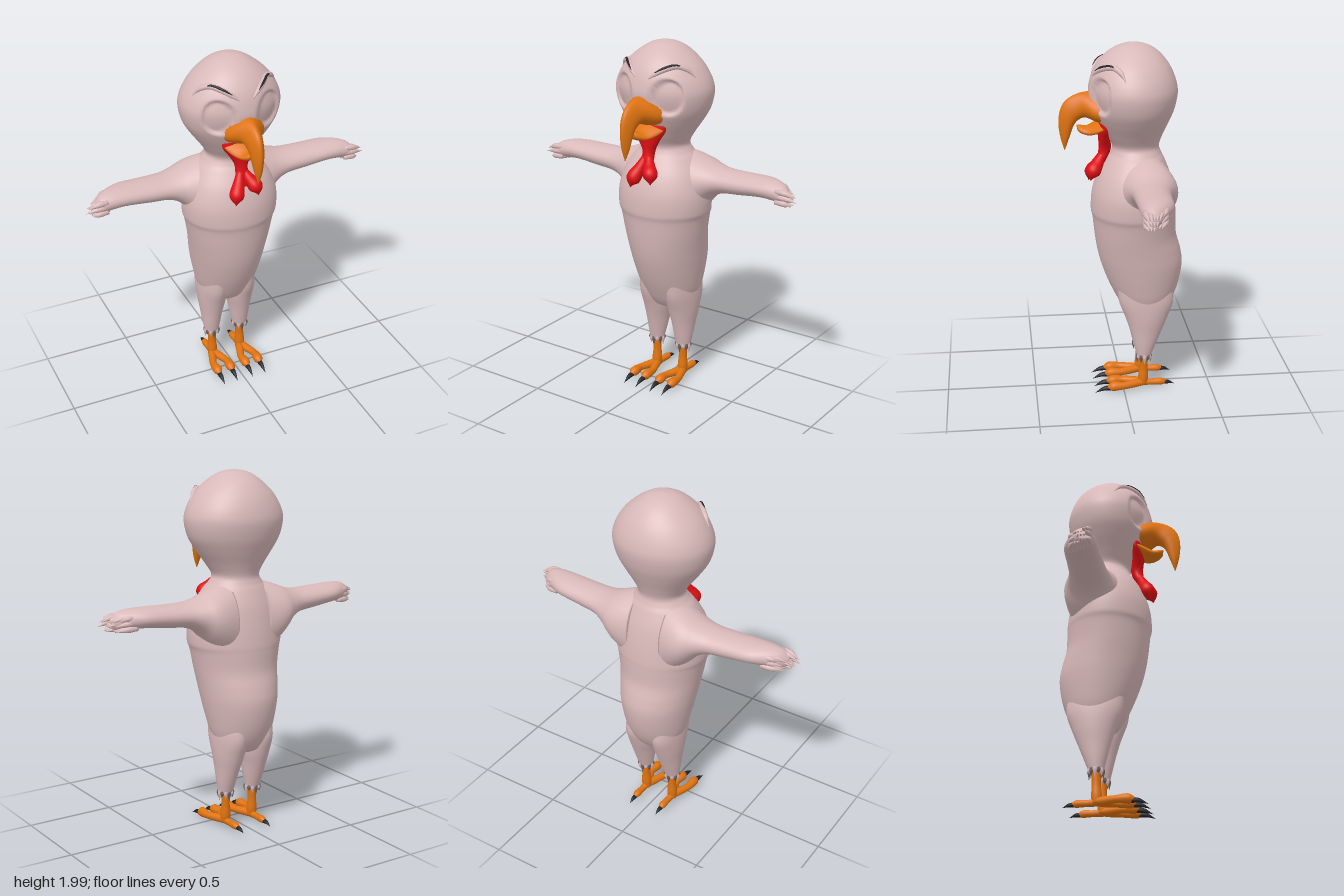
import * as THREE from 'three';

const mat = (name, color, side = THREE.FrontSide) => {
  const m = new THREE.MeshStandardMaterial({ color, side });
  m.name = name;
  return m;
};
const V = (x, y, z) => new THREE.Vector3(x, y, z);

// Resample rows of numbers along a smooth curve, column by column
function smooth(rows, n) {
  const cols = rows[0].map((_, c) => new THREE.SplineCurve(rows.map(r => new THREE.Vector2(r[c], 0))));
  return Array.from({ length: n + 1 }, (_, i) => cols.map(c => c.getPoint(i / n).x));
}

// Closed skin over rings of points, capped at both ends, always facing outwards
function loft(rings) {
  const n = rings[0].length, pts = rings.flat(), idx = [];
  for (let r = 0; r < rings.length - 1; r++) for (let i = 0; i < n; i++) {
    const a = r * n + i, b = r * n + (i + 1) % n;
    idx.push(a, b, a + n, b, b + n, a + n);
  }
  [0, rings.length - 1].forEach((r, end) => {
    const c = pts.length;
    pts.push(rings[r].reduce((s, p) => s.add(p), V(0, 0, 0)).divideScalar(n));
    for (let i = 0; i < n; i++) {
      const a = r * n + i, b = r * n + (i + 1) % n;
      end ? idx.push(a, b, c) : idx.push(b, a, c);
    }
  });
  let vol = 0;
  for (let i = 0; i < idx.length; i += 3)
    vol += pts[idx[i]].dot(V(0, 0, 0).crossVectors(pts[idx[i + 1]], pts[idx[i + 2]]));
  if (vol < 0) idx.reverse();
  const g = new THREE.BufferGeometry().setFromPoints(pts);
  g.setIndex(idx);
  g.computeVertexNormals();
  return g;
}

const ring = (n, f) => Array.from({ length: n }, (_, i) => {
  const t = i / n * Math.PI * 2;
  return f(Math.cos(t), Math.sin(t));
});

// Round limb with a changing radius along a curve
function limb(points, radii, steps = 14, sides = 12) {
  const curve = new THREE.CatmullRomCurve3(points.map(p => V(...p)));
  const frames = curve.computeFrenetFrames(steps);
  const rad = smooth(radii.map(r => [r]), steps);
  return loft(rad.map(([r], i) => {
    const c = curve.getPoint(i / steps);
    return ring(sides, (a, b) => c.clone()
      .addScaledVector(frames.normals[i], a * Math.max(r, 0.0005))
      .addScaledVector(frames.binormals[i], b * Math.max(r, 0.0005)));
  }));
}

// Upright sections: y, centre x, half width, front z, back z
const upright = (rows, n, sides) => loft(smooth(rows, n).map(([y, cx, w, f, b]) =>
  ring(sides, (c, s) => V(cx + w * c, y, (f + b) / 2 + (f - b) / 2 * s))));

// Head and torso: y, half width, front z, back z
const BODY = smooth([
  [2.0, 0.002, -0.06, -0.064], [1.985, 0.075, 0.01, -0.135], [1.95, 0.135, 0.075, -0.195],
  [1.9, 0.195, 0.125, -0.24], [1.85, 0.236, 0.155, -0.27], [1.79, 0.268, 0.175, -0.292],
  [1.73, 0.279, 0.182, -0.3], [1.65, 0.262, 0.165, -0.285], [1.58, 0.222, 0.135, -0.258],
  [1.5, 0.165, 0.09, -0.222], [1.44, 0.131, 0.055, -0.203], [1.4, 0.148, 0.06, -0.212],
  [1.36, 0.185, 0.085, -0.232], [1.28, 0.235, 0.132, -0.262], [1.18, 0.266, 0.164, -0.283],
  [1.08, 0.268, 0.172, -0.296], [1.03, 0.254, 0.163, -0.298], [0.93, 0.235, 0.152, -0.302],
  [0.84, 0.22, 0.138, -0.326], [0.76, 0.208, 0.118, -0.338], [0.66, 0.19, 0.082, -0.325],
  [0.57, 0.17, 0.04, -0.298], [0.5, 0.14, 0, -0.26], [0.46, 0.095, -0.04, -0.22], [0.44, 0.004, -0.12, -0.128],
], 180);

function headZ(x, y) {
  const i = BODY.findIndex(r => r[0] <= y), [, w, f, b] = BODY[i];
  return (f + b) / 2 + (f - b) / 2 * Math.sqrt(Math.max(0, 1 - (x / w) ** 2));
}

export function createModel() {
  const skin = mat('pale pink skin', 0xd9b9b9);
  const orange = mat('orange', 0xdf7310);
  const red = mat('red', 0xe00f14);
  const black = mat('claw black', 0x24242a);
  const grey = mat('grey feather', 0x6b6060);
  const model = new THREE.Group();
  const add = (name, geo, m) => {
    const mesh = new THREE.Mesh(geo, m);
    mesh.name = name;
    model.add(mesh);
    return mesh;
  };

  // Head and torso, with two shallow eye sockets pressed in
  add('body', loft(BODY.map(([y, w, f, b]) => ring(96, (c, s) => {
    const p = V(w * c, y, (f + b) / 2 + (f - b) / 2 * s);
    if (s > 0) {
      const d = Math.hypot((Math.abs(p.x) - 0.14) / 0.085, (y - 1.735) / 0.105);
      p.z -= 0.026 * (1 - THREE.MathUtils.smoothstep(d, 0.75, 1));
    }
    return p;
  }))), skin);

  // Hooked upper beak and scoop below: top z, top y, bottom z, bottom y, half width
  const beak = (rows, n) => loft(smooth(rows, n).map(([tz, ty, bz, by, w]) => ring(28, (c, s) =>
    V(w * c * (1 - 0.35 * s), (ty + by) / 2 + (ty - by) / 2 * s, (tz + bz) / 2 + (tz - bz) / 2 * s))));
  add('upperBeak', beak([
    [0.10, 1.735, 0.08, 1.56, 0.122], [0.185, 1.737, 0.145, 1.575, 0.098], [0.25, 1.724, 0.2, 1.597, 0.056],
    [0.305, 1.69, 0.24, 1.58, 0.042], [0.334, 1.64, 0.262, 1.55, 0.036], [0.344, 1.57, 0.275, 1.515, 0.03],
    [0.335, 1.49, 0.293, 1.465, 0.02], [0.313, 1.415, 0.311, 1.414, 0.002],
  ], 32), orange);
  add('lowerBeak', beak([
    [0.08, 1.6, 0.08, 1.545, 0.11], [0.14, 1.575, 0.14, 1.51, 0.085], [0.19, 1.55, 0.19, 1.5, 0.055],
    [0.23, 1.555, 0.235, 1.517, 0.03], [0.245, 1.555, 0.246, 1.548, 0.003],
  ], 16), orange);

  // Throat wattle with two hanging lobes
  add('wattle', upright([
    [1.59, 0, 0.112, 0.13, 0.05], [1.54, 0, 0.108, 0.135, 0.06], [1.48, 0, 0.068, 0.13, 0.065],
    [1.42, 0, 0.036, 0.128, 0.06], [1.36, 0, 0.036, 0.138, 0.085], [1.31, 0, 0.022, 0.15, 0.115],
  ], 20, 24), red);
  for (const [s, drop] of [[1, 0.035], [-1, 0]])
    add(s > 0 ? 'leftWattleLobe' : 'rightWattleLobe', limb([
      [s * 0.012, 1.385, 0.11], [s * 0.032, 1.325 + drop / 2, 0.135],
      [s * 0.058, 1.265 + drop, 0.165], [s * 0.066, 1.222 + drop, 0.178],
    ], [0.02, 0.032, 0.039, 0.002], 20, 20), red);

  for (const s of [1, -1]) {
    const side = s > 0 ? 'left' : 'right';

    // Brow ridge with a dark feathered line
    const brow = [[0.04, 1.832], [0.075, 1.858], [0.115, 1.882], [0.16, 1.893], [0.2, 1.875], [0.235, 1.835]];
    const browAt = (k, up, out) => k.map(([x, y]) => [s * x, y + up, headZ(x, y) + out]);
    add(side + 'BrowRidge', limb(browAt(brow, 0, -0.002), [0.004, 0.013, 0.016, 0.016, 0.014, 0.003], 24), skin);
    add(side + 'BrowLine', limb(browAt(brow.slice(1, 5), 0.008, 0.01), [0.002, 0.007, 0.007, 0.002], 20, 8), black);

    // Arm: x, top y, bottom y, front z, back z
    add(side + 'Arm', loft(smooth([
      [0.1, 1.4, 0.98, 0.03, -0.27], [0.17, 1.385, 1.03, 0.04, -0.282], [0.23, 1.363, 1.09, 0.02, -0.278],
      [0.29, 1.34, 1.155, -0.005, -0.25], [0.36, 1.326, 1.19, -0.018, -0.225], [0.47, 1.325, 1.203, -0.02, -0.213],
      [0.6, 1.327, 1.218, -0.02, -0.203], [0.68, 1.324, 1.218, -0.022, -0.17], [0.74, 1.308, 1.215, -0.028, -0.13],
      [0.775, 1.275, 1.222, -0.04, -0.09],
    ], 50).map(([x, t, b, f, k]) => ring(32, (c, q) =>
      V(s * x, (t + b) / 2 + (t - b) / 2 * q, (f + k) / 2 + (f - k) / 2 * c)))), skin);

    // Ragged feather tips round the wing end, in three layers
    for (let layer = 0; layer < 3; layer++) for (let i = 0; i < 6; i++) {
      const u = i / 5, jag = ((i * 2 + layer) % 3) * 0.012;
      const y = [1.285, 1.258, 1.228][layer], z = THREE.MathUtils.lerp(-0.15, -0.04, u);
      const x = 0.655 + 0.055 * u;
      add(side + 'WingFeather', limb([
        [s * x, y, z], [s * (x + 0.055), y - 0.003, z + 0.008 * (1 - u)],
        [s * (x + 0.098 + jag - (layer === 2 ? 0.01 : 0)), y - 0.022 + 0.004 * layer, z + 0.035 * (1 - u) - 0.008 * u],
      ], [0.014, 0.016, 0.001], 8, 8), skin);
    }

    // Feathered leg
    add(side + 'Leg', upright([
      [0.66, s * 0.085, 0.07, 0.04, -0.27], [0.55, s * 0.086, 0.08, 0.025, -0.282], [0.45, s * 0.085, 0.078, -0.012, -0.25],
      [0.36, s * 0.088, 0.064, -0.04, -0.214], [0.28, s * 0.09, 0.053, -0.06, -0.182], [0.205, s * 0.091, 0.04, -0.078, -0.152],
    ], 30, 32), skin);

    // Ragged cuff above the ankle
    for (let i = 0; i < 12; i++) {
      const t = i / 12 * Math.PI * 2, c = Math.cos(t), q = Math.sin(t), low = 0.17 + (i % 3) * 0.012;
      add(side + 'CuffFeather', limb([
        [s * 0.091 + 0.037 * c, 0.235, -0.116 + 0.036 * q], [s * 0.091 + 0.039 * c, 0.21, -0.116 + 0.037 * q],
        [s * 0.091 + 0.04 * c, low, -0.116 + 0.038 * q],
      ], [0.006, 0.011, 0.001], 6, 6), i % 2 ? grey : skin);
    }

    // Shank, two front toes, one hind toe, and claws
    add(side + 'Shank', limb([
      [s * 0.09, 0.23, -0.115], [s * 0.09, 0.14, -0.115], [s * 0.09, 0.08, -0.113], [s * 0.09, 0.035, -0.11],
    ], [0.026, 0.024, 0.029, 0.026], 14, 16), orange);
    for (const dx of [-0.041, 0.041]) {
      const x = s * 0.09 + dx;
      add(side + 'FrontToe', limb([
        [s * 0.09, 0.048, -0.125], [s * 0.09 + dx * 0.5, 0.046, -0.06], [x, 0.045, 0.0], [x, 0.044, 0.065], [x, 0.036, 0.1],
      ], [0.022, 0.023, 0.021, 0.027, 0.008], 20, 14), orange);
      add(side + 'FrontClaw', limb([
        [x, 0.036, 0.07], [x, 0.032, 0.115], [x, 0.01, 0.165],
      ], [0.015, 0.012, 0.001], 10, 10), black);
    }
    add(side + 'HindToe', limb([
      [s * 0.09, 0.046, -0.09], [s * 0.09, 0.042, -0.16], [s * 0.09, 0.042, -0.22], [s * 0.09, 0.037, -0.25],
    ], [0.023, 0.018, 0.02, 0.007], 14, 14), orange);
    add(side + 'HindClaw', limb([
      [s * 0.09, 0.038, -0.23], [s * 0.09, 0.036, -0.26], [s * 0.09, 0.024, -0.292],
    ], [0.013, 0.01, 0.001], 8, 10), black);
  }
  return model;
}
